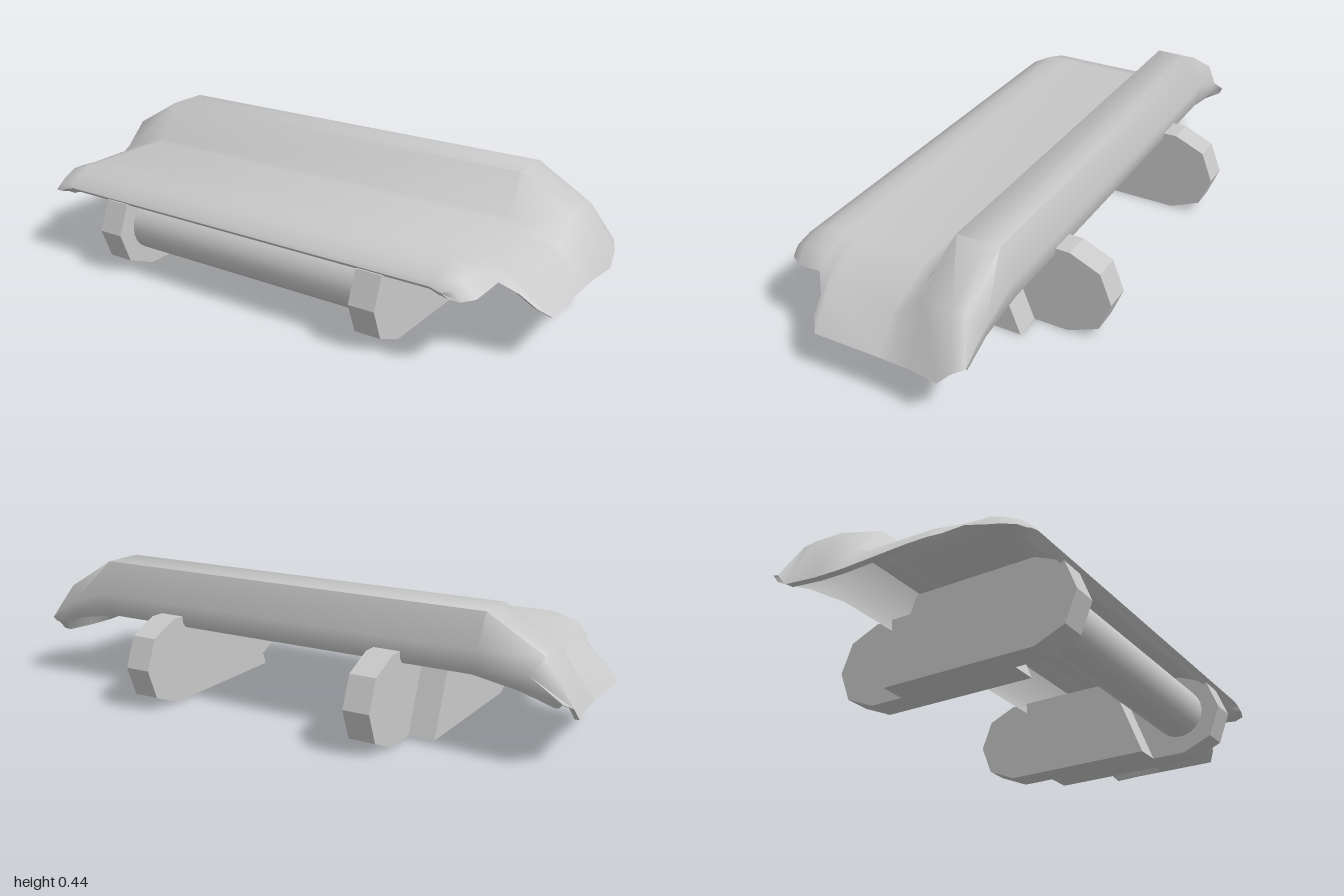
import * as THREE from 'three';
import { toCreasedNormals } from 'three/addons/utils/BufferGeometryUtils.js';

const grey = new THREE.MeshStandardMaterial({ color: 0xc8c8c8 });
grey.name = 'light grey';

// Canopy stations, front to back: z, top y, shoulder x, mid x, mid y, edge x, edge y
const STATIONS = [
  [0.45, 0.262, 0.71, 0.745, 0.252, 0.77, 0.24],
  [0.44, 0.275, 0.72, 0.78, 0.262, 0.805, 0.235],
  [0.40, 0.298, 0.72, 0.79, 0.28, 0.832, 0.235],
  [0.355, 0.317, 0.72, 0.8, 0.292, 0.84, 0.243],
  [0.30, 0.317, 0.72, 0.81, 0.288, 0.85, 0.255],
  [0.26, 0.317, 0.72, 0.84, 0.272, 0.9, 0.215],
  [0.25, 0.317, 0.72, 0.86, 0.262, 0.95, 0.18],
  [0.22, 0.317, 0.72, 0.885, 0.25, 0.99, 0.149],
  [0.00, 0.317, 0.72, 0.9, 0.245, 0.985, 0.147],
  [-0.035, 0.317, 0.72, 0.9, 0.265, 0.985, 0.147],
  [-0.11, 0.445, 0.72, 0.9, 0.34, 0.987, 0.148],
  [-0.21, 0.445, 0.72, 0.905, 0.34, 1.0, 0.15],
  [-0.253, 0.445, 0.72, 0.905, 0.335, 0.995, 0.195],
  [-0.292, 0.335, 0.71, 0.87, 0.285, 0.975, 0.215],
  [-0.287, 0.272, 0.7, 0.86, 0.245, 0.96, 0.2],
];

// Closed ring of one station: outer skin left to right, inner skin back
function ring([z, top, sx, mx, my, ex, ey]) {
  const outer = [[-ex, ey], [-mx, my], [-sx, top], [sx, top], [mx, my], [ex, ey]];
  const t = 0.018;
  const inner = [
    [-ex + t, ey - 0.004], [-mx + t, my - t], [-sx + 0.01, top - t],
    [sx - 0.01, top - t], [mx - t, my - t], [ex - t, ey - 0.004],
  ].reverse();
  return [
    ...outer.map(([x, y]) => [x, y, z]),
    ...inner.map(([x, y]) => [x, y, z * 0.95]),
  ];
}

function canopyGeometry() {
  const rings = STATIONS.map(ring);
  const n = rings[0].length;
  const index = [];
  const quad = (a, b, c, d) => index.push(a, b, c, a, c, d);
  for (let i = 0; i < rings.length - 1; i++) {
    for (let j = 0; j < n; j++) {
      const k = (j + 1) % n;
      quad(i * n + j, i * n + k, (i + 1) * n + k, (i + 1) * n + j);
    }
  }
  // Front and back rims between the two skins
  const last = (rings.length - 1) * n;
  for (let j = 0; j < n / 2 - 1; j++) {
    const p = n - 1 - j;
    quad(p, p - 1, j + 1, j);
    quad(last + j, last + j + 1, last + p - 1, last + p);
  }
  const geo = new THREE.BufferGeometry();
  geo.setAttribute('position', new THREE.Float32BufferAttribute(rings.flat(2), 3));
  geo.setIndex(index);
  return toCreasedNormals(geo, 1.1);
}

// Side plate with one faceted end and one slanted end; dir sets which way it points
function plateGeometry(dir) {
  const outline = [
    [0.335, 0], [0.44, 0.045], [0.48, 0.148], [0.44, 0.25],
    [0.337, 0.295], [-0.1, 0.295], [-0.215, 0],
  ].map(([z, y]) => new THREE.Vector2(z * dir, y));
  const geo = new THREE.ExtrudeGeometry(new THREE.Shape(outline), {
    depth: 0.09, bevelEnabled: false,
  });
  geo.rotateY(-Math.PI / 2);
  return geo.translate(0.045, 0, 0);
}

export function createModel() {
  const group = new THREE.Group();
  const add = (name, geo, x = 0, y = 0, z = 0) => {
    const mesh = new THREE.Mesh(geo, grey);
    mesh.name = name;
    mesh.position.set(x, y, z);
    group.add(mesh);
  };

  add('canopy', canopyGeometry());

  // Overlapping plates: outer ones reach forward, inner ones reach back
  const front = plateGeometry(1);
  const rear = plateGeometry(-1);
  for (const [side, s] of [['left', 1], ['right', -1]]) {
    add(side + 'FrontPlate', front, s * 0.505, 0, 0);
    add(side + 'RearPlate', rear, s * 0.415, 0, 0);
  }

  // Round bar joining the front plates
  const bar = new THREE.CylinderGeometry(0.09, 0.09, 0.93, 24);
  bar.rotateZ(Math.PI / 2);
  add('crossBar', bar, 0, 0.153, 0.325);

  return group;
}
